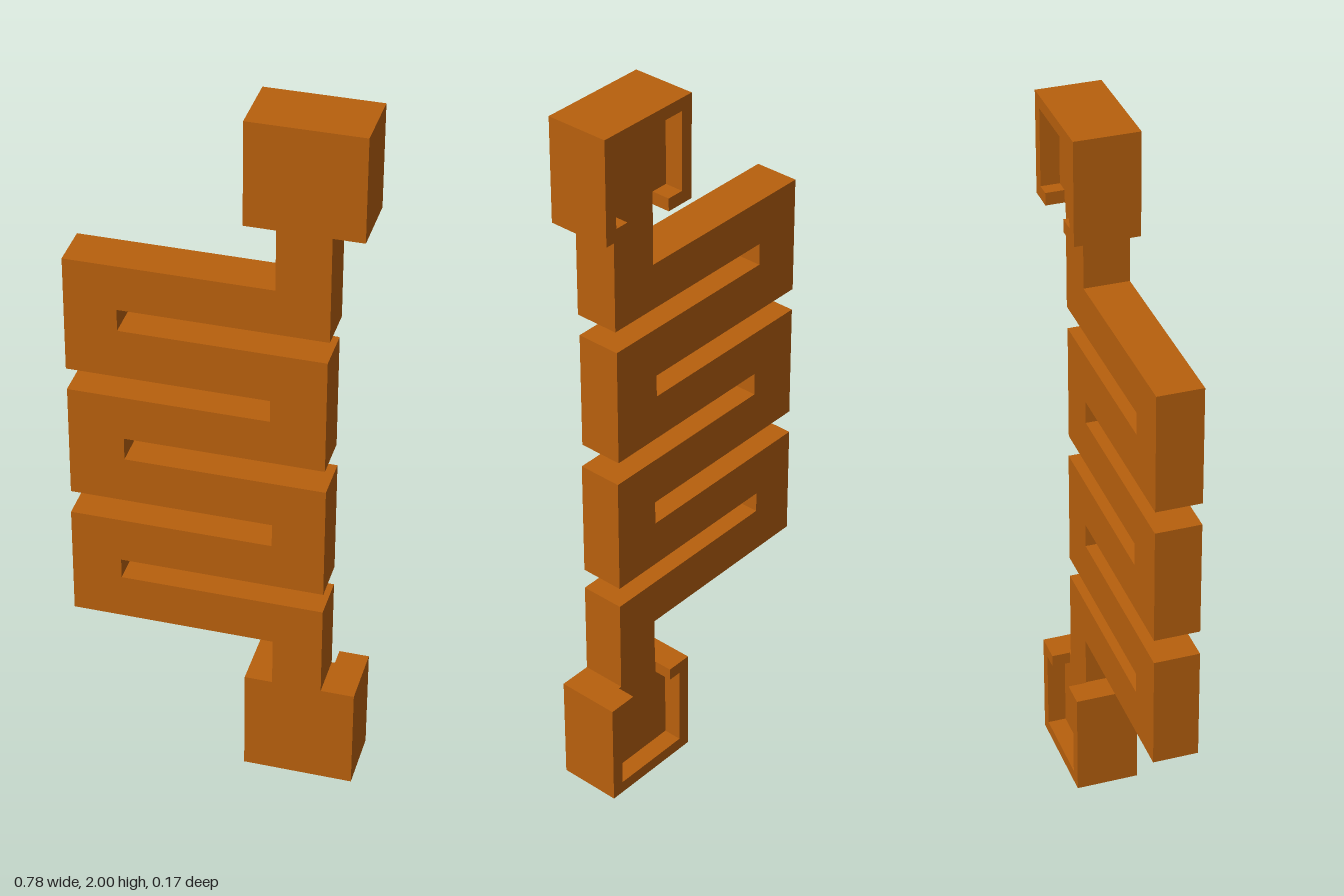
import * as THREE from 'three';

const FRONT = 0.087, BACK = -0.087, STRIP_BACK = -0.036;

const material = new THREE.MeshStandardMaterial({ color: 0xb8600d, flatShading: true });

// Flat outline in x/y, extruded between two z planes
function slab(name, points, z0, z1) {
  const shape = new THREE.Shape(points.map(([x, y]) => new THREE.Vector2(x, y)));
  const geometry = new THREE.ExtrudeGeometry(shape, { depth: z1 - z0, bevelEnabled: false });
  geometry.translate(0, 0, z0);
  const mesh = new THREE.Mesh(geometry, material);
  mesh.name = name;
  return mesh;
}

// Box-shaped end clip, open at the back, with a slot where the strip enters.
// yOuter is the closed end, yInner the slotted end.
function endClip(name, x0, x1, yOuter, yInner, slot0, slot1) {
  const wall = 0.035;
  const dir = Math.sign(yInner - yOuter);
  const floor = yOuter + dir * wall, lip = yInner - dir * wall;
  const group = new THREE.Group();
  group.name = name;
  group.add(slab('clipPlate', [[x0, yOuter], [x1, yOuter], [x1, yInner], [x0, yInner]], STRIP_BACK, FRONT));
  group.add(slab('clipRim', [
    [x0, yOuter], [x1, yOuter], [x1, yInner], [slot1, yInner], [slot1, lip], [x1 - wall, lip],
    [x1 - wall, floor], [x0 + wall, floor], [x0 + wall, lip], [slot0, lip], [slot0, yInner], [x0, yInner],
  ], BACK, STRIP_BACK));
  return group;
}

export function createModel() {
  const model = new THREE.Group();
  model.name = 'serpentineConnector';

  // Winding strip: down the left edge, back up the right edge
  model.add(slab('serpentineStrip', [
    [0.158, 1.715], [0.158, 1.545], [-0.387, 1.545], [-0.387, 1.217],
    [0.148, 1.217], [0.148, 1.154], [-0.386, 1.154], [-0.386, 0.83],
    [0.157, 0.83], [0.157, 0.762], [-0.388, 0.762], [-0.388, 0.443],
    [0.163, 0.443], [0.163, 0.303], [0.297, 0.303], [0.297, 0.572],
    [-0.253, 0.572], [-0.253, 0.631], [0.297, 0.631], [0.297, 0.962],
    [-0.237, 0.962], [-0.237, 1.027], [0.293, 1.027], [0.293, 1.356],
    [-0.248, 1.356], [-0.248, 1.418], [0.297, 1.418], [0.297, 1.715],
  ], STRIP_BACK, FRONT));

  // Clips at both ends
  model.add(endClip('topClip', 0.075, 0.378, 2, 1.715, 0.158, 0.304));
  model.add(endClip('bottomClip', 0.087, 0.388, 0, 0.303, 0.16, 0.306));
  return model;
}
